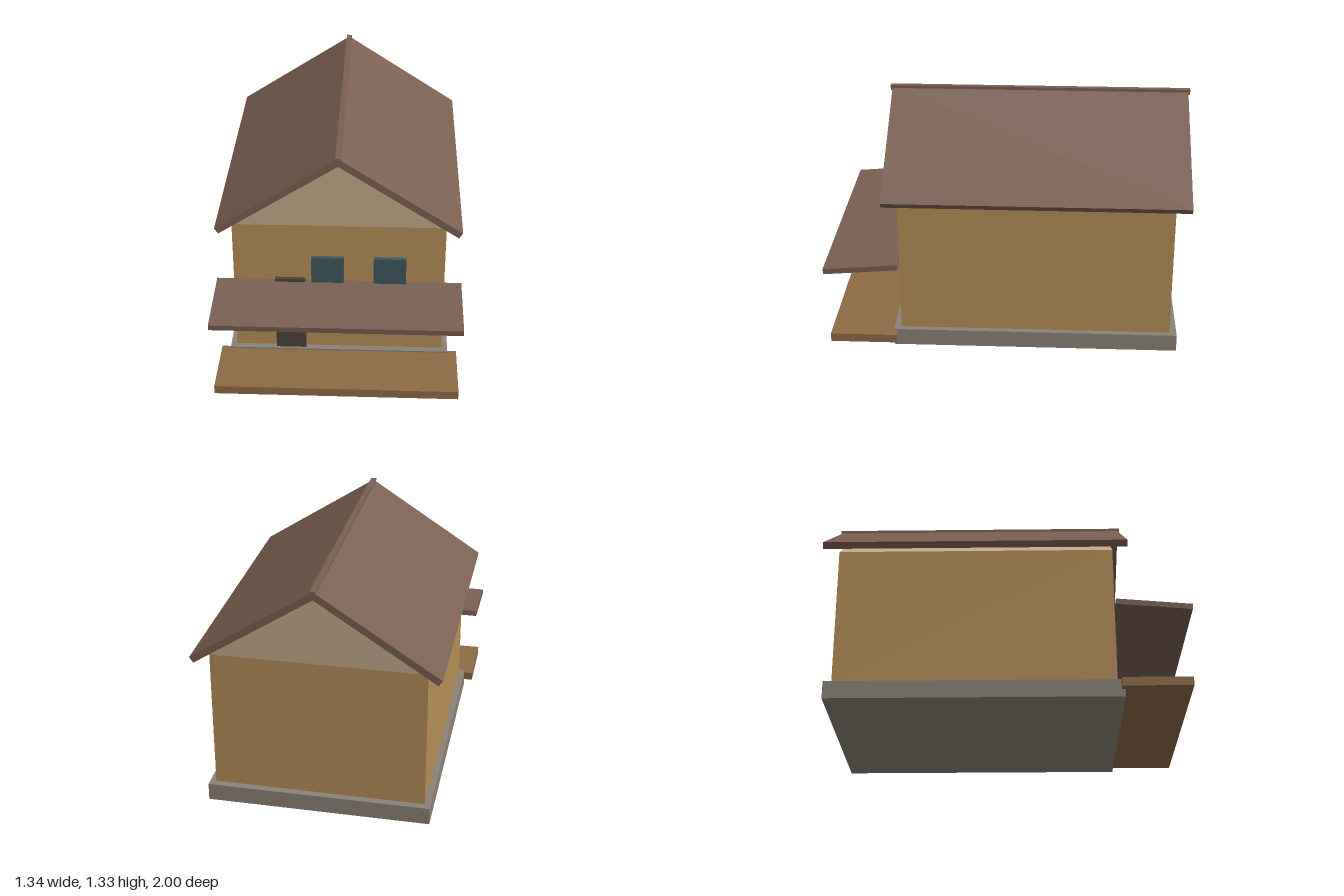
import * as THREE from 'three';

const mat = (color) => new THREE.MeshStandardMaterial({ color });
const WALL = mat(0xb58e58), GABLE = mat(0xc4ab8b), ROOF = mat(0x7b6053), STONE = mat(0x8b8277);
const DECK = mat(0x8e6a46), DOOR = mat(0x4c423d), GLASS = mat(0x40585f);

export function createModel() {
  const house = new THREE.Group();
  house.name = 'house';

  const add = (name, geometry, material) => {
    const mesh = new THREE.Mesh(geometry, material);
    mesh.name = name;
    house.add(mesh);
    return mesh;
  };

  // Box given by its extents on each axis
  const box = (name, material, [x0, x1], [y0, y1], [z0, z1]) => {
    const mesh = add(name, new THREE.BoxGeometry(x1 - x0, y1 - y0, z1 - z0), material);
    mesh.position.set((x0 + x1) / 2, (y0 + y1) / 2, (z0 + z1) / 2);
    return mesh;
  };

  // Body
  box('foundation', STONE, [-0.61, 0.61], [0, 0.097], [-0.95, 0.63]);
  box('walls', WALL, [-0.577, 0.577], [0.097, 0.88], [-0.91, 0.592]);

  // Triangular attic running the full depth of the walls
  const triangle = new THREE.Shape([
    new THREE.Vector2(-0.577, 0.88),
    new THREE.Vector2(0.577, 0.88),
    new THREE.Vector2(0, 1.285),
  ]);
  const attic = new THREE.ExtrudeGeometry(triangle, { depth: 1.502, bevelEnabled: false });
  add('gable', attic.translate(0, 0, -0.91), GABLE);

  // Two roof slabs sloping from the ridge to the eaves
  const run = 0.66, drop = 0.428, thickness = 0.037;
  const pitch = Math.atan2(drop, run);
  for (const side of [1, -1]) {
    const slab = add(side > 0 ? 'leftRoof' : 'rightRoof',
      new THREE.BoxGeometry(Math.hypot(run, drop), thickness, 1.66), ROOF);
    slab.position.set(
      side * (run / 2 - Math.sin(pitch) * thickness / 2),
      1.325 - drop / 2 - Math.cos(pitch) * thickness / 2,
      -0.16);
    slab.rotation.z = -side * pitch;
  }
  box('ridgeCap', ROOF, [-0.015, 0.015], [1.302, 1.332], [-1, 0.68]);

  // Porch deck and sloping canopy
  box('porchDeck', DECK, [-0.66, 0.66], [0.04, 0.088], [0.61, 0.98]);
  const canopy = box('porchCanopy', ROOF, [-0.67, 0.67], [0.487, 0.518], [0.591, 0.999]);
  canopy.rotation.x = 0.085;

  // Door and windows
  box('door', DOOR, [-0.35, -0.183], [0.097, 0.55], [0.585, 0.615]);
  for (const x of [-0.15, 0.19]) {
    box('window', GLASS, [x, x + 0.177], [0.51, 0.69], [0.585, 0.615]);
  }

  return house;
}
